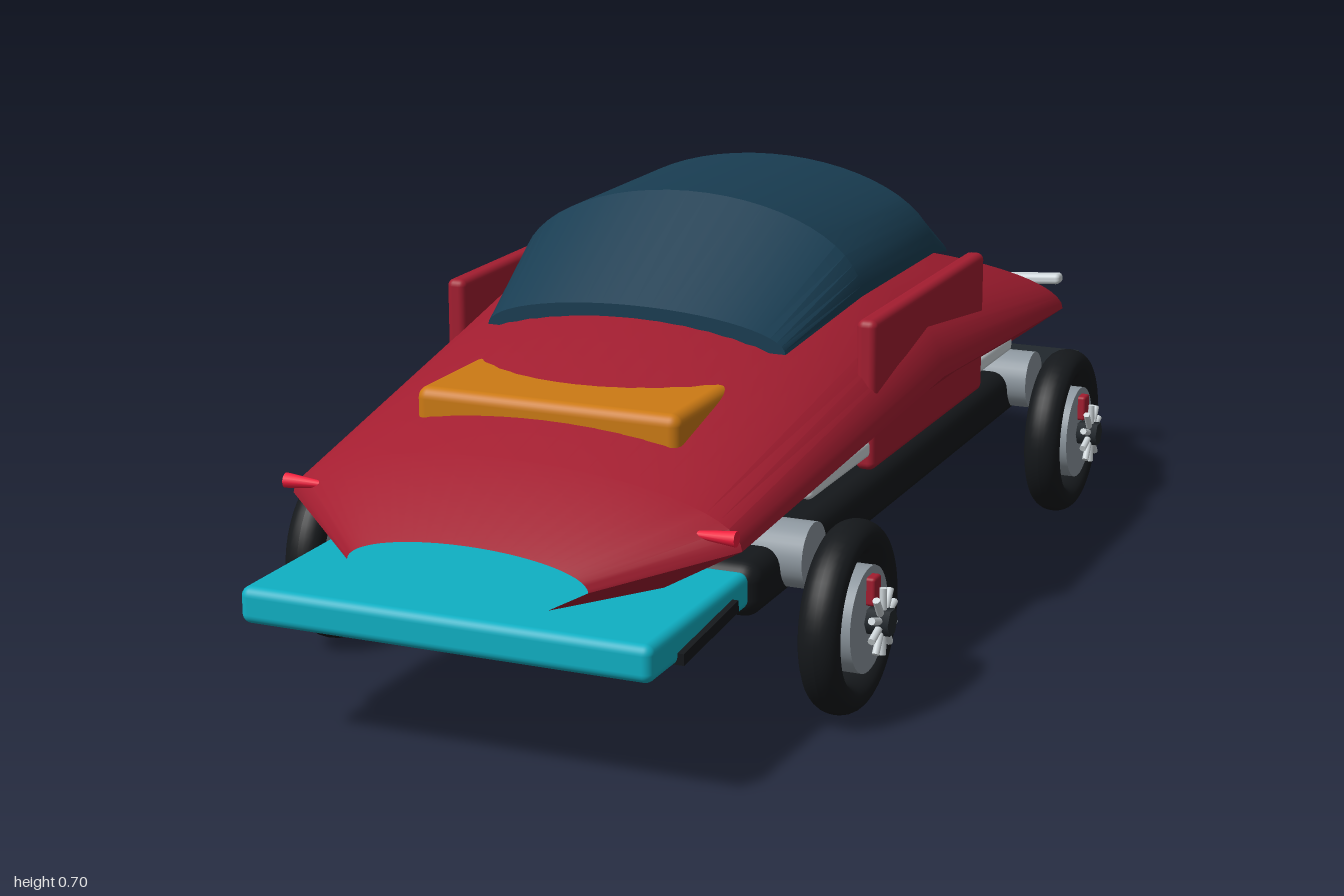
import * as THREE from 'three';
import { toCreasedNormals } from 'three/addons/utils/BufferGeometryUtils.js';
import { RoundedBoxGeometry } from 'three/addons/geometries/RoundedBoxGeometry.js';

const mat = (color) => new THREE.MeshStandardMaterial({ color });
const red = mat(0xa31d30), glass = mat(0x193d52), orange = mat(0xcc7a14), teal = mat(0x0fb0c4);
const black = mat(0x15181b), darkGrey = mat(0x22282d), steel = mat(0x8d979f), silver = mat(0xd0d8dc);
const lampRed = mat(0xf01c3c);

function add(parent, name, geometry, material, x = 0, y = 0, z = 0) {
  const mesh = new THREE.Mesh(geometry, material);
  mesh.name = name;
  mesh.position.set(x, y, z);
  parent.add(mesh);
  return mesh;
}

// Skins cross-sections ordered front to back, each counter-clockwise seen from the front
function loft(rings, capFront, capBack, crease) {
  const n = rings[0].length, pos = rings.flat(2), index = [];
  for (let i = 0; i < rings.length - 1; i++) {
    for (let j = 0; j < n; j++) {
      const a = i * n + j, b = i * n + (j + 1) % n;
      index.push(a, a + n, b, b, a + n, b + n);
    }
  }
  const last = (rings.length - 1) * n;
  for (let j = 1; j < n - 1; j++) {
    if (capFront) index.push(0, j, j + 1);
    if (capBack) index.push(last, last + j + 1, last + j);
  }
  const g = new THREE.BufferGeometry();
  g.setAttribute('position', new THREE.Float32BufferAttribute(pos, 3));
  g.setIndex(index);
  return toCreasedNormals(g, crease);
}

// Half-ellipse dome of half-width w from sill height up to top
function dome(z, w, top, sill, steps = 28) {
  const ring = [];
  for (let i = 0; i <= steps; i++) {
    const t = (i / steps) * Math.PI;
    ring.push([w * Math.cos(t), sill + (top - sill) * Math.sin(t), z]);
  }
  return ring;
}

function makeWheel() {
  const wheel = new THREE.Group();
  // Tyre: rounded band turned around the axle
  const profile = [];
  for (let i = 0; i <= 24; i++) {
    const t = (i / 24) * Math.PI * 2;
    profile.push(new THREE.Vector2(0.125 + 0.025 * Math.cos(t), 0.0325 * Math.sin(t)));
  }
  add(wheel, 'tyre', new THREE.LatheGeometry(profile, 48), black).rotation.z = -Math.PI / 2;
  add(wheel, 'brakeDisc', new THREE.CylinderGeometry(0.083, 0.083, 0.03, 40), steel, 0.018).rotation.z = Math.PI / 2;
  add(wheel, 'hub', new THREE.CylinderGeometry(0.022, 0.022, 0.085, 6), darkGrey, 0.028).rotation.z = Math.PI / 2;
  add(wheel, 'caliper', new RoundedBoxGeometry(0.018, 0.045, 0.03, 2, 0.005), red, 0.038, 0.048, 0);
  // Ring of short spokes
  for (let i = 0; i < 10; i++) {
    const a = (i / 10) * Math.PI * 2;
    const spoke = add(wheel, 'spoke', new THREE.CylinderGeometry(0.006, 0.006, 0.04, 8), silver,
      0.055, Math.cos(a) * 0.033, Math.sin(a) * 0.033);
    spoke.rotation.x = a;
  }
  return wheel;
}

export function createModel() {
  const car = new THREE.Group();
  car.name = 'car';

  // Body shell, open at the nose: z, half-width, top, waist, bottom
  const stations = [
    [0.915, 0.195, 0.33, 0.285, 0.25],
    [0.77, 0.37, 0.42, 0.325, 0.255],
    [0, 0.41, 0.62, 0.40, 0.27],
    [-0.7, 0.405, 0.45, 0.36, 0.26],
    [-0.9, 0.285, 0.352, 0.31, 0.245],
    [-1, 0.06, 0.305, 0.275, 0.235],
  ];
  const shell = stations.map(([z, w, top, waist, bottom]) =>
    [...dome(z, w, top, waist), [-0.67 * w, bottom, z], [0.67 * w, bottom, z]]);
  add(car, 'bodyShell', loft(shell, false, true, 0.6), red);

  // Glass canopy
  const canopy = [
    dome(0.33, 0.26, 0.555, 0.50),
    dome(0.11, 0.305, 0.70, 0.55),
    dome(-0.25, 0.305, 0.70, 0.55),
    dome(-0.435, 0.265, 0.565, 0.51),
  ];
  add(car, 'canopy', loft(canopy, true, true, 0.45), glass);

  // Hood scoop runs down through the body
  add(car, 'hoodScoop', new RoundedBoxGeometry(0.44, 0.215, 0.32, 4, 0.018), orange, 0, 0.371, 0.495);

  // Underside and ends
  add(car, 'chassis', new RoundedBoxGeometry(0.69, 0.087, 1.39, 4, 0.03), black, 0, 0.219, -0.04);
  add(car, 'frontBumper', new RoundedBoxGeometry(0.66, 0.057, 0.36, 4, 0.015), teal, 0, 0.222, 0.82);
  add(car, 'frontSplitter', new THREE.BoxGeometry(0.68, 0.018, 0.2), black, 0, 0.212, 0.81).rotation.x = 0.08;
  add(car, 'rearWing', new THREE.BoxGeometry(0.72, 0.018, 0.12), darkGrey, 0, 0.2, -0.92);

  for (const z of [0.51, -0.61]) {
    add(car, 'axleHousing', new THREE.CylinderGeometry(0.052, 0.052, 0.76, 32), steel, 0, 0.242, z).rotation.z = Math.PI / 2;
  }

  for (const s of [1, -1]) {
    // Side panel and the rail below the waist
    add(car, 'sidePanel', new RoundedBoxGeometry(0.034, 0.245, 0.55, 3, 0.012), red, s * 0.363, 0.424, -0.025);
    add(car, 'sideRail', new RoundedBoxGeometry(0.03, 0.03, 1.0, 3, 0.01), silver, s * 0.357, 0.338, 0);
    // Front marker lamp
    const lamp = add(car, 'frontLamp', new THREE.CylinderGeometry(0.012, 0.003, 0.09, 12), lampRed, s * 0.325, 0.35, 0.79);
    lamp.rotation.z = -s * Math.PI / 2;
    // Rear blade
    const blade = add(car, 'rearBlade', new RoundedBoxGeometry(0.18, 0.02, 0.03, 3, 0.008), silver, s * 0.258, 0.366, -0.882);
    blade.rotation.z = s * 0.08;
    // Wheels
    for (const [name, z] of [['frontWheel', 0.51], ['rearWheel', -0.61]]) {
      const wheel = makeWheel();
      wheel.name = name;
      wheel.position.set(s * 0.437, 0.152, z);
      if (s < 0) wheel.rotation.y = Math.PI;
      car.add(wheel);
    }
  }
  return car;
}
